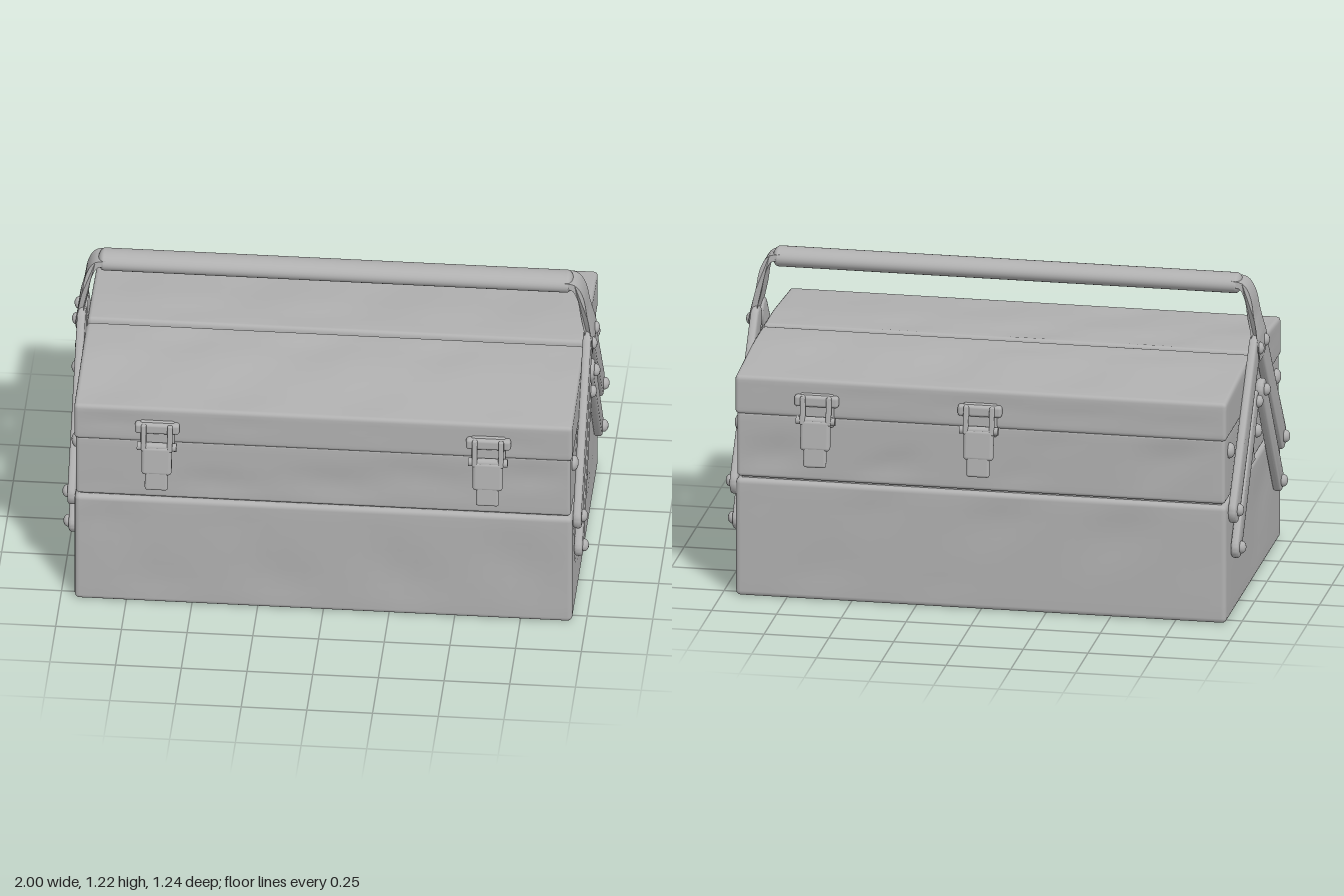
import * as THREE from 'three';
import { mergeVertices, toCreasedNormals } from 'three/addons/utils/BufferGeometryUtils.js';
import { RoundedBoxGeometry } from 'three/addons/geometries/RoundedBoxGeometry.js';

const steel = new THREE.MeshStandardMaterial({ color: 0xb0b0b0 });
steel.name = 'grey steel';

function add(parent, name, geometry, x = 0, y = 0, z = 0) {
  const m = new THREE.Mesh(geometry, steel);
  m.name = name;
  m.position.set(x, y, z);
  parent.add(m);
  return m;
}

// Rounded sheet-metal box with shallow dents; min and max are its corners
function dentedBox(min, max, r, dent, rule) {
  const n = [30, 12, 14];
  let g = new THREE.BoxGeometry(2, 2, 2, ...n);
  g.deleteAttribute('normal');
  g.deleteAttribute('uv');
  g = mergeVertices(g);
  const p = g.attributes.position;
  const v = new THREE.Vector3(), inner = new THREE.Vector3();
  const lo = new THREE.Vector3(...min), hi = new THREE.Vector3(...max);
  const inLo = lo.clone().addScalar(r), inHi = hi.clone().subScalar(r);
  for (let i = 0; i < p.count; i++) {
    // Two grid lines per edge lie inside the rounding, the rest are even
    for (let a = 0; a < 3; a++) {
      const k = Math.round((p.getComponent(i, a) + 1) / 2 * n[a]);
      const l = lo.getComponent(a), h = hi.getComponent(a);
      let c;
      if (k < 2) c = l + k * r / 2;
      else if (k > n[a] - 2) c = h - (n[a] - k) * r / 2;
      else c = l + r + (h - l - 2 * r) * (k - 2) / (n[a] - 4);
      v.setComponent(a, c);
    }
    inner.copy(v).clamp(inLo, inHi);
    const d = v.clone().sub(inner).normalize();
    const [x, y, z] = [v.x, v.y, v.z];
    const wave = Math.sin(5.1 * x + 9 * y + 3 * z) * Math.sin(7.3 * x - 6 * y + 5 * z + 1)
      + 0.6 * Math.sin(13 * x + 11 * y - 8 * z);
    // Dents fade out toward the edges
    const e = [0, 1, 2].map(a => Math.min(v.getComponent(a) - lo.getComponent(a),
      hi.getComponent(a) - v.getComponent(a))).sort((a, b) => a - b);
    const fade = Math.min(1, Math.max(0, e[1] - r) / 0.08);
    v.copy(inner).addScaledVector(d, r - dent * fade * Math.max(0, wave));
    if (rule) rule(v);
    p.setXYZ(i, v.x, v.y, v.z);
  }
  g.computeVertexNormals();
  return g;
}

// Pressed arm between two [z, y] ends, facing +x
function armGeometry(a, b, r) {
  const ang = Math.atan2(b[1] - a[1], a[0] - b[0]);
  const s = new THREE.Shape();
  s.absarc(-b[0], b[1], r - 0.012, ang - Math.PI / 2, ang + Math.PI / 2);
  s.absarc(-a[0], a[1], r - 0.012, ang + Math.PI / 2, ang + Math.PI * 1.5);
  const g = new THREE.ExtrudeGeometry(s, {
    depth: 0.012, bevelEnabled: true, bevelSize: 0.012, bevelThickness: 0.01,
    bevelSegments: 3, curveSegments: 10
  });
  g.rotateY(Math.PI / 2);
  return toCreasedNormals(g, 0.7);
}

function rivet(parent, x, y, z, r = 0.024, t = 0.018) {
  const m = add(parent, 'rivet', new THREE.SphereGeometry(1, 14, 10), x, y, z);
  m.scale.set(t, r, r);
}

// Bent handle bracket: a ribbon in x and y, with its width set by height
function bracketGeometry() {
  const path = new THREE.CatmullRomCurve3([[0.87, 1.19], [0.91, 1.182], [0.935, 1.14], [0.95, 1.06],
    [0.968, 0.98], [0.972, 0.92], [0.966, 0.885]].map(q => new THREE.Vector3(q[0], q[1], 0)));
  const out = [], back = [];
  for (let i = 0; i <= 20; i++) {
    const q = path.getPoint(i / 20), t = path.getTangent(i / 20);
    out.push(new THREE.Vector2(q.x - t.y * 0.012, q.y + t.x * 0.012));
    back.unshift(new THREE.Vector2(q.x + t.y * 0.012, q.y - t.x * 0.012));
  }
  const g = new THREE.ExtrudeGeometry(new THREE.Shape([...out, ...back]), { depth: 2, bevelEnabled: false });
  g.translate(0, 0, -1);
  const p = g.attributes.position;
  for (let i = 0; i < p.count; i++) {
    const y = p.getY(i);
    const w = y > 1 ? 0.075 - (y - 1) * 0.13 : y > 0.95 ? 0.075 + (1 - y) * 0.4 : 0.095 - (0.95 - y) * 0.7;
    p.setZ(i, p.getZ(i) * w);
  }
  return toCreasedNormals(g, 0.6);
}

function makeSide() {
  const side = new THREE.Group();
  side.name = 'sideLinkage';
  add(side, 'handleBracket', bracketGeometry());
  for (const s of [1, -1]) {
    const arms = [
      ['upperArm', [0.465, 0.43], [0.055, 0.945], 0.05],
      ['lowerArm', [0.42, 0.268], [0.075, 0.74], 0.042]
    ];
    for (const [name, a, b, r] of arms) {
      add(side, name, armGeometry([a[0] * s, a[1]], [b[0] * s, b[1]], r), 0.956);
      rivet(side, 0.982, a[1], a[0] * s);
      rivet(side, 0.982, b[1], b[0] * s);
    }
    // Small rivets on the tray end
    rivet(side, 0.945, 0.665, 0.465 * s, 0.03, 0.02);
    rivet(side, 0.945, 0.66, 0.27 * s, 0.028, 0.025);
    rivet(side, 0.945, 0.57, 0.085 * s, 0.026, 0.02);
  }
  // Flared strip where the trays meet
  const strip = new THREE.Shape([[-0.042, 0.47], [0.042, 0.47], [0.01, 0.51], [0.006, 0.68], [-0.006, 0.68],
    [-0.01, 0.51]].map(q => new THREE.Vector2(...q)));
  const g = new THREE.ExtrudeGeometry(strip, { depth: 0.015, bevelEnabled: false });
  g.rotateY(Math.PI / 2);
  add(side, 'centreStrip', g, 0.932);
  return side;
}

// Latch on a wall facing +z
function makeLatch(x) {
  const latch = new THREE.Group();
  latch.name = 'latch';
  add(latch, 'latchPlate', new RoundedBoxGeometry(0.13, 0.13, 0.02, 2, 0.008), x, 0.76, 0.558);
  add(latch, 'latchHook', new RoundedBoxGeometry(0.17, 0.045, 0.035, 2, 0.012), x, 0.798, 0.565);
  const pin = add(latch, 'latchPin', new THREE.CylinderGeometry(0.016, 0.016, 0.15, 12), x, 0.725, 0.585);
  pin.rotation.z = Math.PI / 2;
  for (const s of [1, -1]) {
    const bar = add(latch, 'latchBar', new RoundedBoxGeometry(0.02, 0.11, 0.02, 2, 0.006), x + s * 0.05, 0.765, 0.588);
    bar.rotation.x = -0.12;
  }
  const lever = add(latch, 'latchLever', new RoundedBoxGeometry(0.115, 0.12, 0.035, 3, 0.014), x, 0.67, 0.592);
  lever.rotation.x = -0.1;
  const tip = add(latch, 'latchTip', new RoundedBoxGeometry(0.088, 0.12, 0.024, 3, 0.01), x, 0.606, 0.602);
  tip.rotation.x = -0.08;
  return latch;
}

export function createModel() {
  const model = new THREE.Group();
  model.name = 'toolbox';

  add(model, 'base', dentedBox([-0.947, 0, -0.553], [0.947, 0.467, 0.553], 0.02, 0.005));
  add(model, 'innerCore', new THREE.BoxGeometry(1.85, 0.42, 1.06), 0, 0.63, 0);

  // Front and back trays, each with a lid rising to the middle
  for (const s of [1, -1]) {
    const z = (a, b) => (s > 0 ? [a, b] : [-b, -a]);
    const [t0, t1] = z(0.006, 0.55), [l0, l1] = z(0.01, 0.557);
    add(model, 'tray', dentedBox([-0.942, 0.474, t0], [0.942, 0.735, t1], 0.015, 0.009));
    add(model, 'lid', dentedBox([-0.948, 0.725, l0], [0.948, 0.877, l1], 0.016, 0.006, v => {
      if (v.y > 0.8) v.y += 0.028 * Math.min(1, (0.557 - Math.abs(v.z)) / 0.36) * (v.y - 0.8) / 0.077;
    }));
  }

  // Carrying handle with rounded end collars
  const bar = add(model, 'handle', new THREE.CylinderGeometry(1, 1, 1.76, 28), 0, 1.182, 0);
  bar.rotation.z = Math.PI / 2;
  bar.scale.set(0.038, 1, 0.055);
  for (const s of [1, -1]) {
    const end = add(model, 'handleEnd', new THREE.SphereGeometry(1, 24, 14), s * 0.88, 1.182, 0);
    end.scale.set(0.025, 0.038, 0.055);
  }

  const left = makeSide(), right = makeSide();
  right.rotation.y = Math.PI;
  model.add(left, right);

  // Two latches on the front, two on the back
  model.add(makeLatch(0.63), makeLatch(-0.63));
  for (const x of [0, -0.63]) {
    const latch = makeLatch(x);
    latch.rotation.y = Math.PI;
    model.add(latch);
  }
  return model;
}
